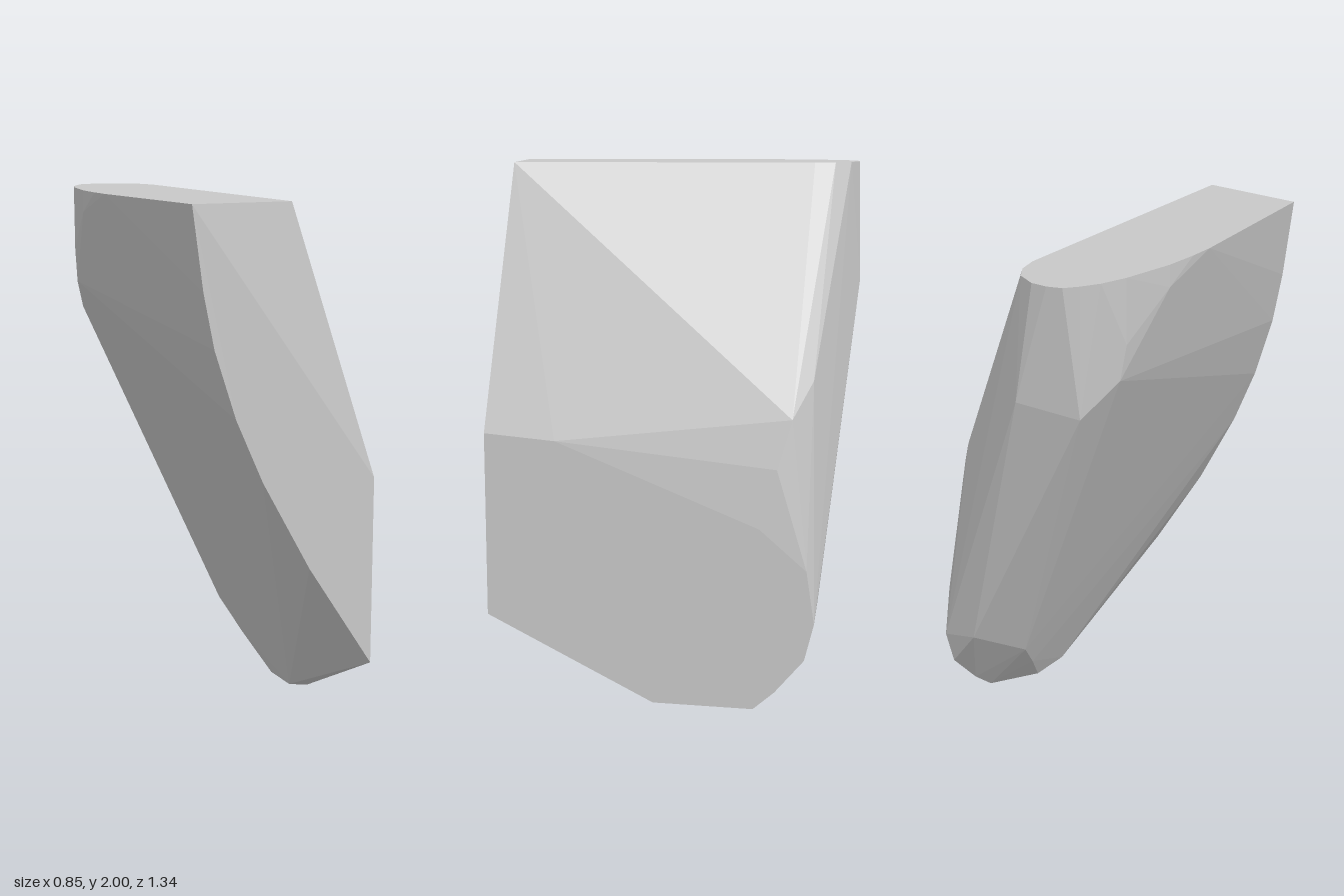
import * as THREE from 'three';
import { ConvexGeometry } from 'three/addons/geometries/ConvexGeometry.js';

// Maps 2D outline pairs to 3D points
const outline = (pairs, place) => pairs.map(([a, b]) => new THREE.Vector3(...place(a, b)));

export function createModel() {
  const group = new THREE.Group();
  const stone = new THREE.MeshStandardMaterial({ color: 0xc8c8c8 });
  stone.name = 'pale grey';

  // Flat top: rounded at the back, cut straight at the front (x, z)
  const top = outline([
    [-0.26, 0.67], [0.115, 0.625], [-0.06, -0.5], [-0.09, -0.575], [-0.14, -0.63],
    [-0.22, -0.655], [-0.28, -0.645], [-0.33, -0.62], [-0.36, -0.57], [-0.39, -0.5],
    [-0.41, -0.4], [-0.422, -0.2], [-0.413, -0.07], [-0.4, 0.03],
  ], (x, z) => [x, 2, z]);

  // Curved front face (x, y)
  const front = outline([
    [-0.22, 1.7], [-0.18, 1.5], [-0.1, 1.25], [0, 1.02],
    [0.18, 0.69], [0.425, 0.31], [0.425, 1.01],
  ], (x, y) => [x, y, 0.67]);

  // Flat side face with a rounded lower back corner (y, z)
  const side = outline([
    [0, 0.03], [0, -0.35], [0.07, -0.43], [0.2, -0.54], [0.34, -0.575],
    [0.54, -0.545], [0.69, -0.37], [0.99, 0.4],
  ], (y, z) => [0.425, y, z]);

  // Bevel corners around the back, the overhang and the foot
  const bevels = [
    [-0.14, 1.55, -0.67], [-0.345, 1.51, -0.56], [-0.4, 1.63, -0.42],
    [-0.412, 1.76, -0.4], [-0.425, 1.92, -0.2],
    [0.27, 1.22, -0.545], [0.37, 1.09, -0.48], [0.405, 0.91, -0.43],
    [0.26, 0.39, -0.57], [0.18, 0.28, -0.37], [0.25, 0.15, -0.27],
    [0.34, 0, -0.16], [0.36, 0, 0.0],
  ].map((p) => new THREE.Vector3(...p));

  const block = new THREE.Mesh(new ConvexGeometry([...top, ...front, ...side, ...bevels]), stone);
  block.name = 'leaningBlock';
  group.add(block);
  return group;
}
